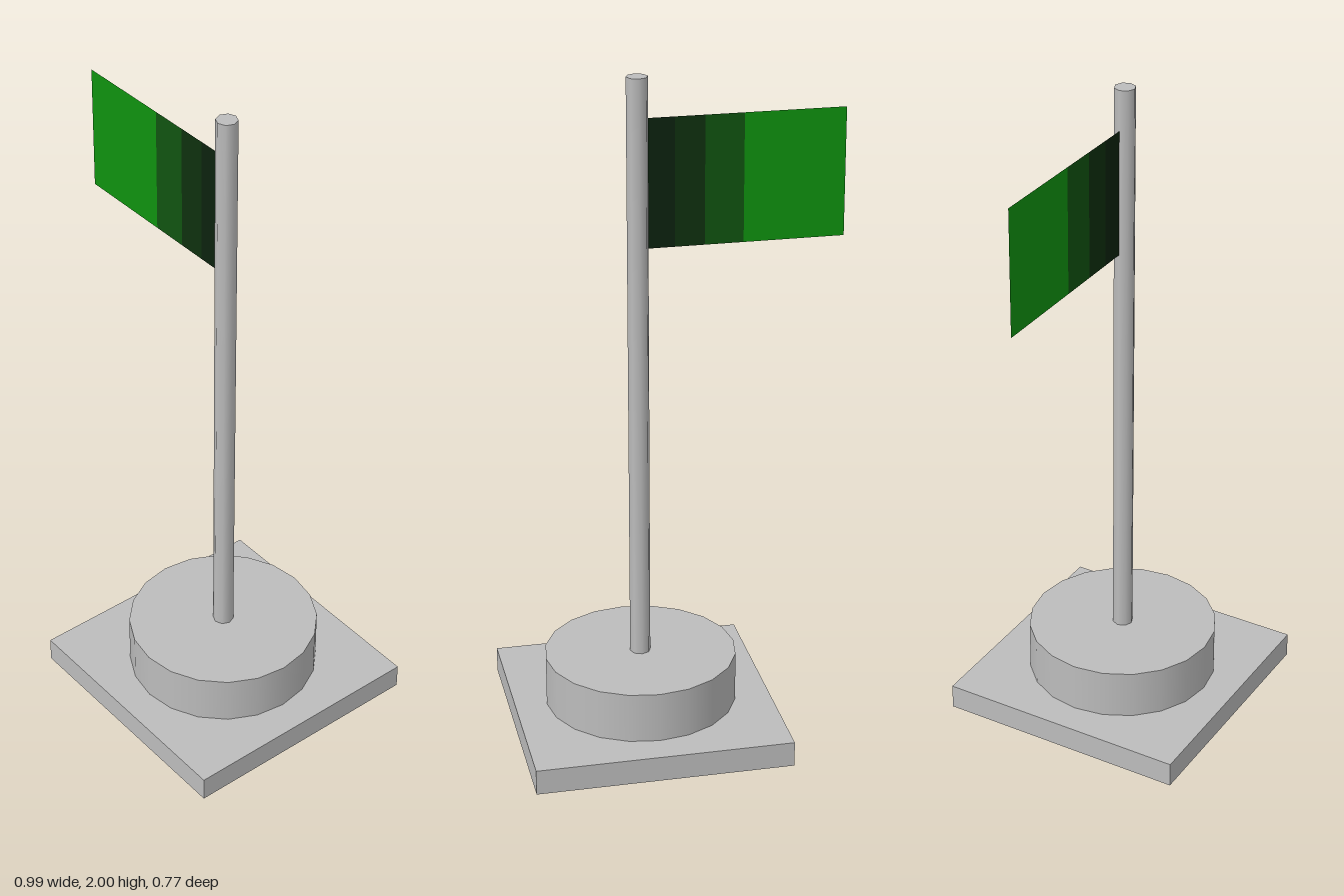
import * as THREE from 'three';

const POLE_X = 0.107;

function material(name, color) {
  const m = new THREE.MeshStandardMaterial({ color, side: THREE.DoubleSide });
  m.name = name;
  return m;
}

export function createModel() {
  const model = new THREE.Group();
  model.name = 'flagpole';
  const grey = material('stone grey', 0xbcbcbc);

  function add(name, geometry, mat, x, y) {
    const mesh = new THREE.Mesh(geometry, mat);
    mesh.name = name;
    mesh.position.set(x, y, 0);
    model.add(mesh);
  }

  // Square plinth, hollow and open underneath: drop the bottom face
  const plinth = new THREE.BoxGeometry(0.767, 0.077, 0.767);
  const index = Array.from(plinth.index.array);
  index.splice(18, 6);
  plinth.setIndex(index);
  plinth.clearGroups();
  add('plinth', plinth, grey, POLE_X, 0.0385);

  // Round footing and pole
  add('footing', new THREE.CylinderGeometry(0.288, 0.288, 0.153, 20), grey, POLE_X, 0.1535);
  add('pole', new THREE.CylinderGeometry(0.031, 0.031, 1.77, 8), grey, POLE_X, 1.115);

  // Thin flat flag in four bands, darkening towards the pole
  const bands = [
    ['flagOuterBand', 'bright green', 0x0f920f, -0.495, -0.2],
    ['flagSecondBand', 'deep green', 0x105410, -0.2, -0.087],
    ['flagThirdBand', 'dark green', 0x0e300e, -0.087, 0],
    ['flagInnerBand', 'blackish green', 0x0c220e, 0, POLE_X - 0.02],
  ];
  for (const [name, colorName, color, x0, x1] of bands) {
    add(name, new THREE.PlaneGeometry(x1 - x0, 0.38), material(colorName, color), (x0 + x1) / 2, 1.69);
  }

  return model;
}
